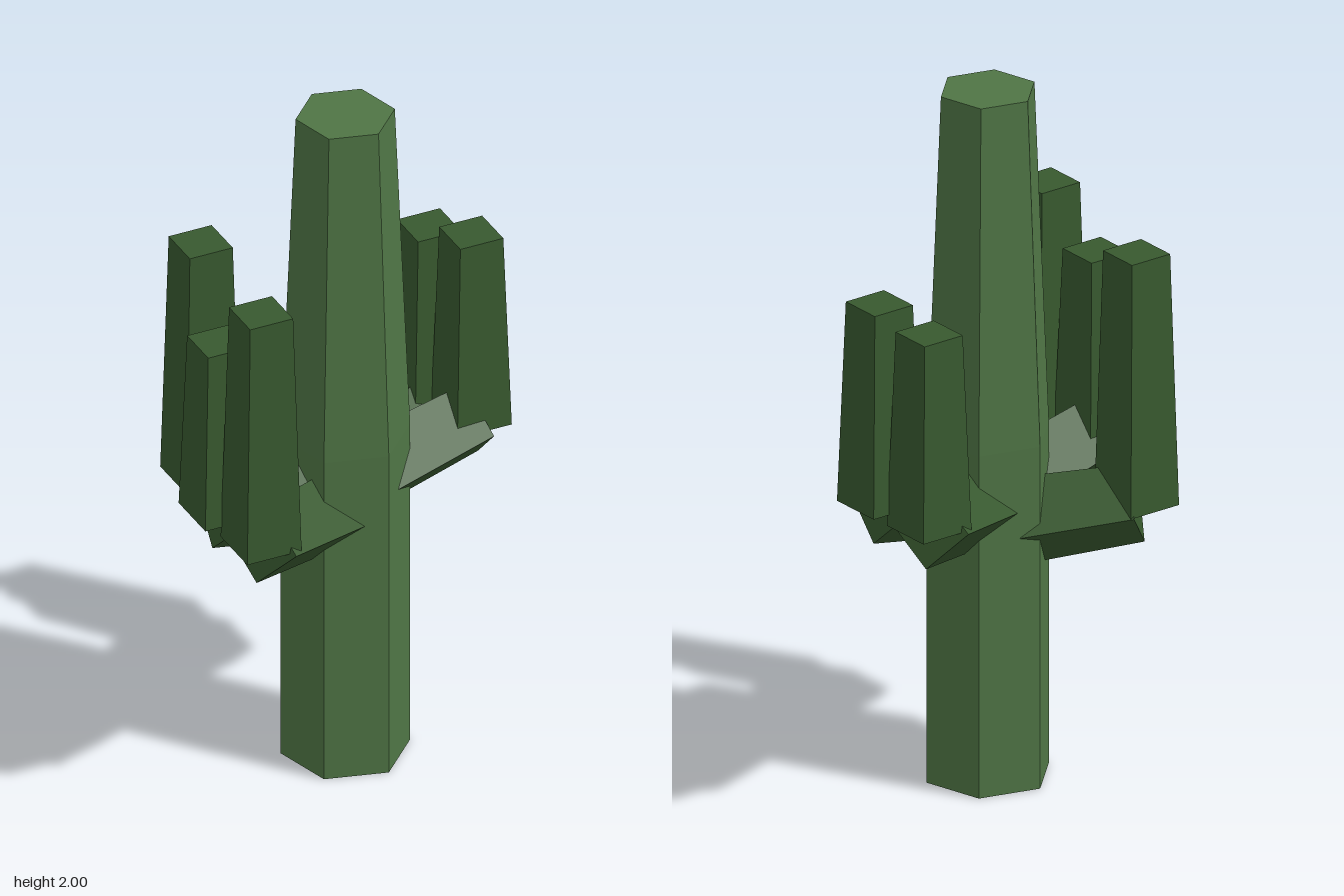
import * as THREE from 'three';

const trunkMat = new THREE.MeshStandardMaterial({ color: 0x4f7545, flatShading: true });
trunkMat.name = 'trunk green';
const armMat = new THREE.MeshStandardMaterial({ color: 0x38592f, flatShading: true });
armMat.name = 'arm green';

const TRUNK_X = 0.073;
const ARM_R = 0.115;

// Each arm: elbow position (x, z), elbow height, tip height
const ARMS = [
  { x: -0.327, z: 0.03, base: 0.8, tip: 1.533 },
  { x: -0.18, z: 0.309, base: 0.878, tip: 1.412 },
  { x: -0.035, z: 0.385, base: 0.845, tip: 1.575 },
  { x: 0.18, z: -0.386, base: 0.875, tip: 1.443 },
  { x: 0.325, z: -0.312, base: 0.908, tip: 1.492 },
];

// Six-sided trunk: straight lower half, tapered upper half
function makeTrunk() {
  const profile = [[0, 0], [0.178, 0], [0.178, 1], [0.136, 2], [0, 2]]
    .map(([r, y]) => new THREE.Vector2(r, y));
  const trunk = new THREE.Mesh(new THREE.LatheGeometry(profile, 6), trunkMat);
  trunk.name = 'trunk';
  trunk.position.x = TRUNK_X;
  return trunk;
}

// Four-sided arm: a rising branch out of the trunk and an upright on its end
function makeArm({ x, z, base, tip }) {
  const arm = new THREE.Group();
  arm.name = 'arm';

  const reach = Math.hypot(x - TRUNK_X, z);
  const start = new THREE.Vector3(TRUNK_X, base - reach * 0.19, 0);
  const end = new THREE.Vector3(x, base, z);
  const branchGeo = new THREE.CylinderGeometry(ARM_R, 0.13, start.distanceTo(end), 4);
  branchGeo.rotateX(Math.PI / 2);
  const branch = new THREE.Mesh(branchGeo, armMat);
  branch.name = 'branch';
  branch.position.copy(start).lerp(end, 0.5);
  branch.lookAt(end);

  const upright = new THREE.Mesh(
    new THREE.CylinderGeometry(0.091, ARM_R, tip - base, 4), armMat);
  upright.name = 'upright';
  upright.position.set(x, (base + tip) / 2, z);

  arm.add(branch, upright);
  return arm;
}

export function createModel() {
  const cactus = new THREE.Group();
  cactus.name = 'cactus';
  cactus.add(makeTrunk(), ...ARMS.map(makeArm));
  return cactus;
}
